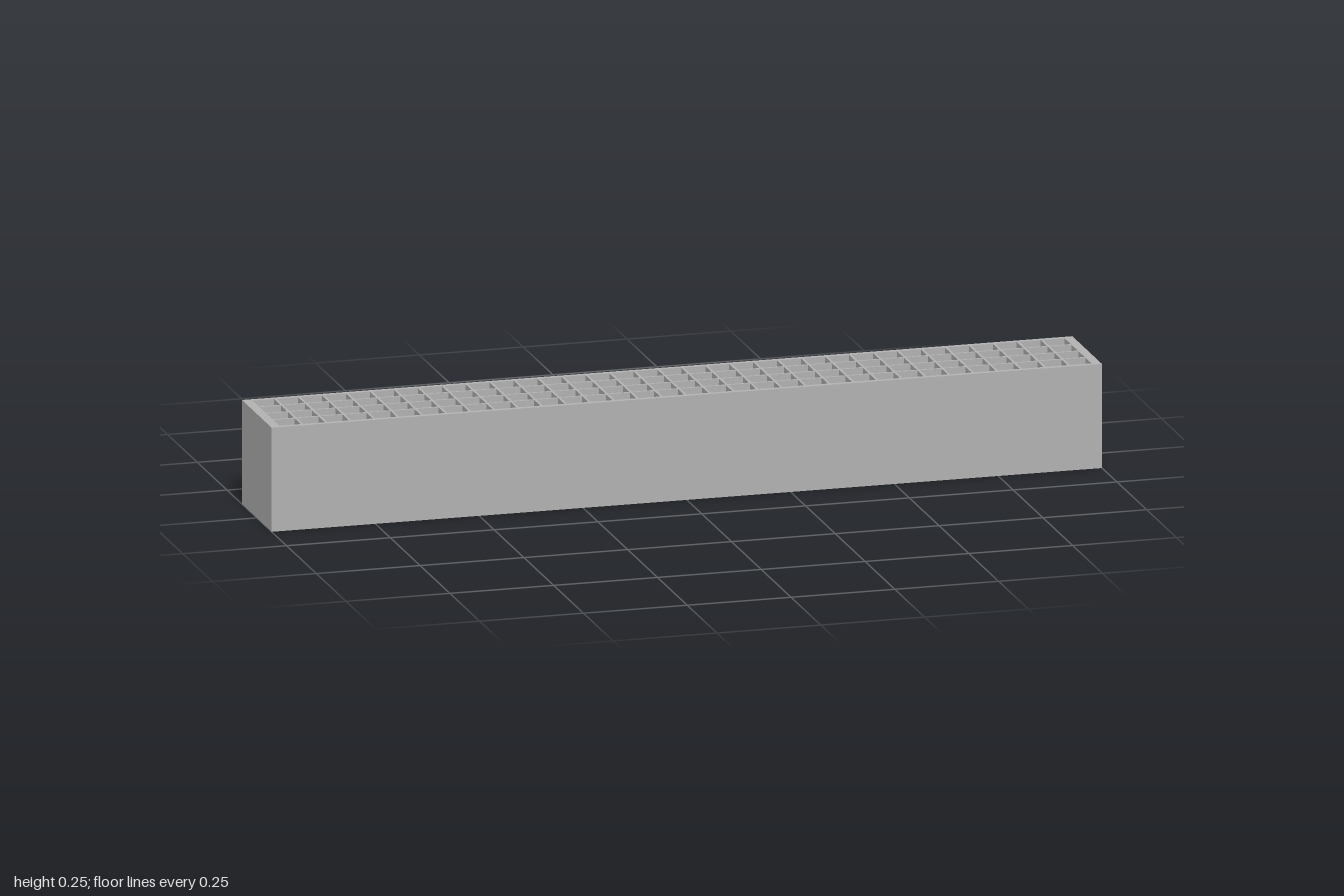
import * as THREE from 'three';

const LENGTH = 2, HEIGHT = 0.25, DEPTH = 0.25;
const COLUMNS = 34, ROWS = 4;
const PITCH = 0.0577, WALL = 0.006; // cell spacing and thickness of the dividers

// Rectangle centred on (x, y), added to a Shape or Path
function rectangle(path, x, y, w, h) {
  path.moveTo(x - w / 2, y - h / 2);
  path.lineTo(x + w / 2, y - h / 2);
  path.lineTo(x + w / 2, y + h / 2);
  path.lineTo(x - w / 2, y + h / 2);
  path.closePath();
  return path;
}

export function createModel() {
  const model = new THREE.Group();
  model.name = 'gridBlock';

  const grey = new THREE.MeshStandardMaterial({ color: 0xb2b2b2 });
  grey.name = 'grey';

  // Outer casing outline, pierced by a grid of square through-cells
  const outline = rectangle(new THREE.Shape(), 0, 0, LENGTH, DEPTH);
  const cell = PITCH - WALL;
  for (let c = 0; c < COLUMNS; c++) {
    for (let r = 0; r < ROWS; r++) {
      const x = (c - (COLUMNS - 1) / 2) * PITCH;
      const y = (r - (ROWS - 1) / 2) * PITCH;
      outline.holes.push(rectangle(new THREE.Path(), x, y, cell, cell));
    }
  }

  // Raise the outline to full height, standing on y = 0
  const geometry = new THREE.ExtrudeGeometry(outline, { depth: HEIGHT, bevelEnabled: false });
  geometry.rotateX(-Math.PI / 2);

  const block = new THREE.Mesh(geometry, grey);
  block.name = 'casingWithCells';
  model.add(block);
  return model;
}
